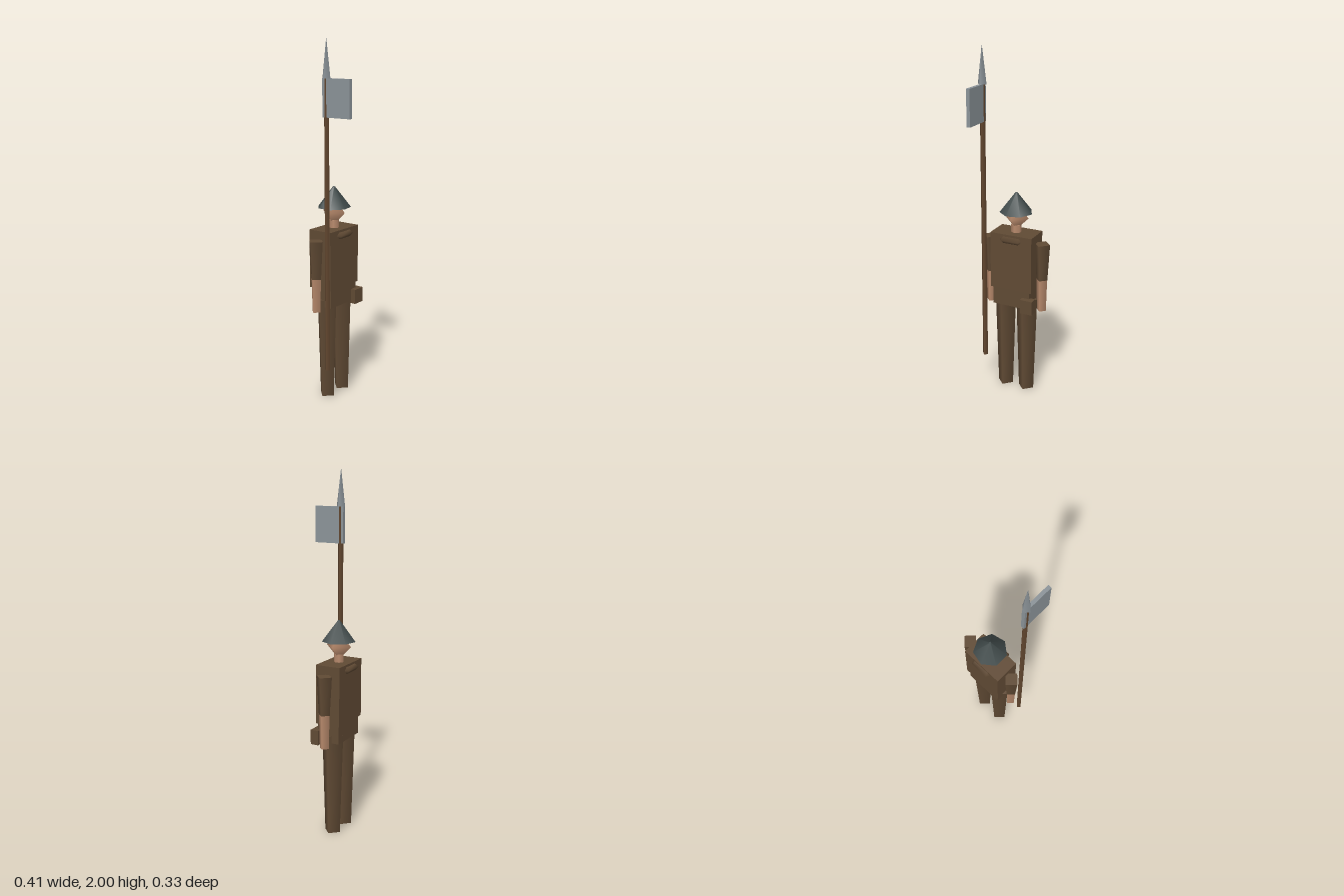
import * as THREE from 'three';

const colour = (name, hex) => {
  const m = new THREE.MeshStandardMaterial({ color: hex });
  m.name = name;
  return m;
};

export function createModel() {
  const cloth = colour('brown cloth', 0x604a34);
  const skin = colour('skin', 0xb88a6c);
  const wood = colour('wood', 0x644830);
  const steel = colour('steel', 0x8b9398);
  const iron = colour('dark iron', 0x404a4a);

  const model = new THREE.Group();
  model.name = 'spearGuard';
  const MID = -0.072; // depth of the body's centre line

  const add = (name, geometry, material, x, y, z) => {
    const mesh = new THREE.Mesh(geometry, material);
    mesh.name = name;
    mesh.position.set(x, y, z);
    model.add(mesh);
    return mesh;
  };
  // Box given by its limits on each axis
  const box = (name, material, [x0, x1], [y0, y1], [z0, z1]) =>
    add(name, new THREE.BoxGeometry(x1 - x0, y1 - y0, z1 - z0), material,
      (x0 + x1) / 2, (y0 + y1) / 2, (z0 + z1) / 2);
  // Tapered limb between two heights
  const limb = (name, material, rTop, rBottom, y0, y1, x, z, sides = 4) =>
    add(name, new THREE.CylinderGeometry(rTop, rBottom, y1 - y0, sides), material,
      x, (y0 + y1) / 2, z);

  // Tunic, hips and belt pouch
  box('torso', cloth, [-0.126, 0.126], [0.645, 0.975], [-0.145, 0]);
  box('hips', cloth, [-0.113, 0.113], [0.54, 0.65], [-0.134, -0.006]);
  box('pouch', cloth, [0.07, 0.143], [0.525, 0.608], [-0.022, 0.024]);

  // Six-sided collar showing through the chest and back
  const collar = new THREE.TorusGeometry(0.088, 0.019, 4, 6);
  collar.rotateX(Math.PI / 2);
  add('collar', collar, cloth, 0, 0.945, MID);

  // Arms and legs
  for (const [side, s] of [['left', 1], ['right', -1]]) {
    limb(side + 'Sleeve', cloth, 0.047, 0.034, 0.714, 0.928, s * 0.16, MID);
    limb(side + 'Forearm', skin, 0.033, 0.028, 0.524, 0.716, s * 0.16, MID);
    limb(side + 'Leg', cloth, 0.066, 0.047, 0, 0.58, s * 0.067, MID);
  }

  // Neck, head and helmet
  limb('neck', skin, 0.029, 0.029, 0.96, 1.02, 0, MID, 6);
  add('head', new THREE.SphereGeometry(0.075, 4, 2), skin, 0, 1.064, MID);
  limb('helmet', iron, 0.006, 0.094, 1.09, 1.205, 0, MID, 7).rotation.y = Math.PI / 2;

  // Polearm: shaft, point and forward-facing blade
  const px = -0.162, pz = 0.008;
  limb('shaft', wood, 0.016, 0.016, 0.2, 1.8, px, pz);
  limb('spearPoint', steel, 0.001, 0.026, 1.8, 2, px, pz);
  box('blade', steel, [px - 0.01, px + 0.01], [1.6, 1.8], [-0.012, 0.163]);

  return model;
}
